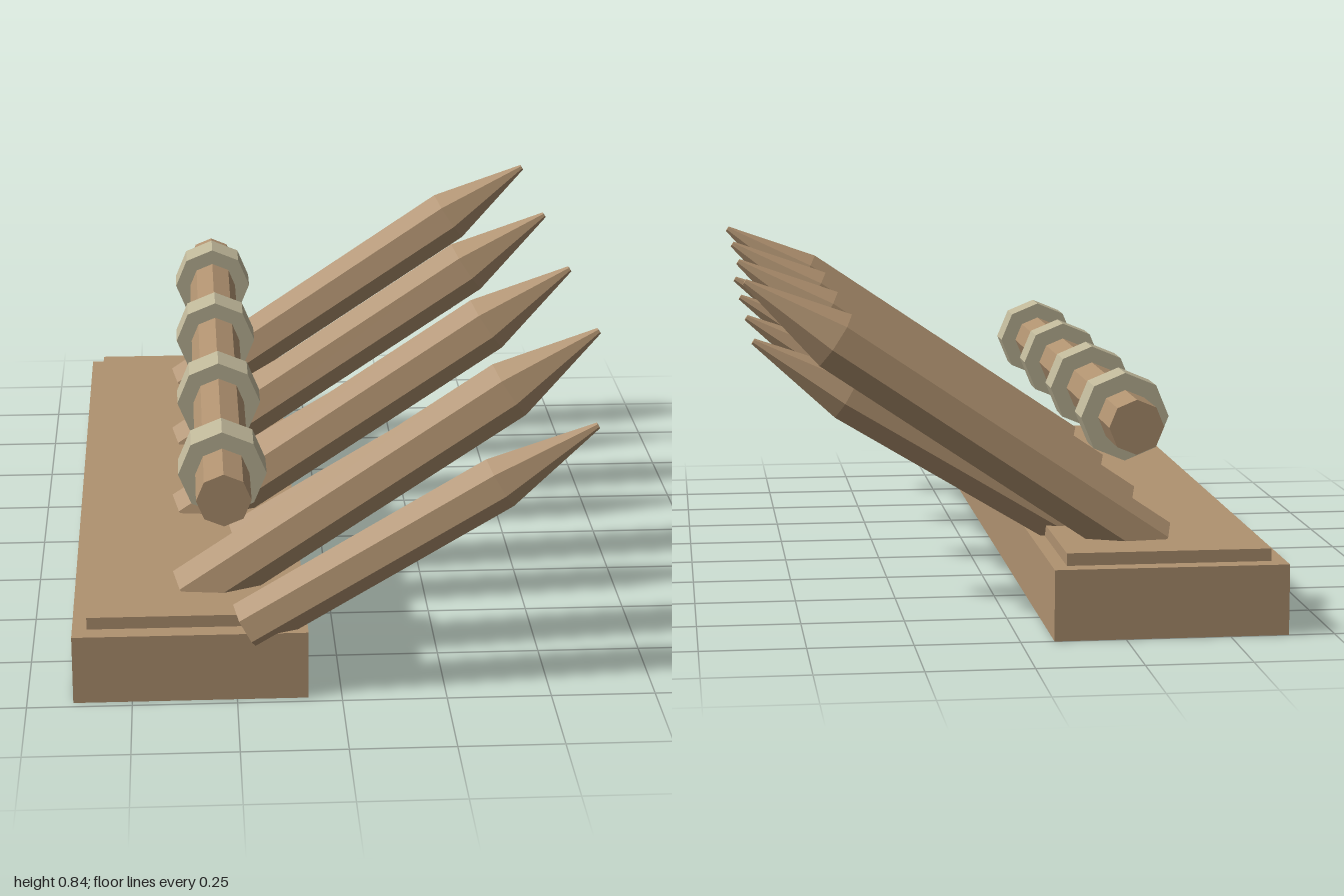
import * as THREE from 'three';

const wood = new THREE.MeshStandardMaterial({ color: 0xb09270 });
wood.name = 'wood';
const rope = new THREE.MeshStandardMaterial({ color: 0xbfb799 });
rope.name = 'paleBinding';

// Give every face its own flat normal
function faceted(geometry) {
  const flat = geometry.toNonIndexed();
  flat.computeVertexNormals();
  return flat;
}

function addPart(group, name, geometry, material, x, y, z) {
  const mesh = new THREE.Mesh(geometry, material);
  mesh.name = name;
  mesh.position.set(x, y, z);
  group.add(mesh);
  return mesh;
}

// Octagonal bar lying along z
function octagonalBar(radius, length) {
  return faceted(new THREE.CylinderGeometry(radius, radius, length, 8).rotateX(Math.PI / 2));
}

// Seven-sided sharpened stake, rising towards +x with one edge on top
function stakeGeometry(radius, shaft, length, angle) {
  const profile = [[0, 0], [radius, 0], [radius, shaft], [0.008, length], [0, length]]
    .map(([r, y]) => new THREE.Vector2(r, y));
  const geometry = new THREE.LatheGeometry(profile, 7, -Math.PI / 2);
  geometry.rotateZ(THREE.MathUtils.degToRad(angle - 90));
  return faceted(geometry);
}

export function createModel() {
  const group = new THREE.Group();
  group.name = 'stakeBarricade';

  // Stepped base
  addPart(group, 'base', new THREE.BoxGeometry(0.56, 0.17, 1.98), wood, -0.36, 0.085, -0.01);
  addPart(group, 'baseTop', new THREE.BoxGeometry(0.49, 0.04, 1.89), wood, -0.36, 0.18, -0.01);

  // Rail above the base
  addPart(group, 'rail', octagonalBar(0.065, 1.92), wood, -0.276, 0.499, -0.01);

  // Repeated bindings and stakes
  const binding = octagonalBar(0.106, 0.1);
  const longStake = stakeGeometry(0.075, 0.93, 1.185, 34);
  const shortStake = stakeGeometry(0.066, 0.695, 0.96, 31);
  for (let i = 0; i < 4; i++) {
    const z = -0.76 + i * 0.497;
    addPart(group, 'binding', binding, rope, -0.276, 0.499, z);
    addPart(group, 'longStake', longStake, wood, -0.357, 0.166, z + 0.003);
    addPart(group, 'shortStake', shortStake, wood, -0.223, 0.168, z + 0.2);
  }
  return group;
}
